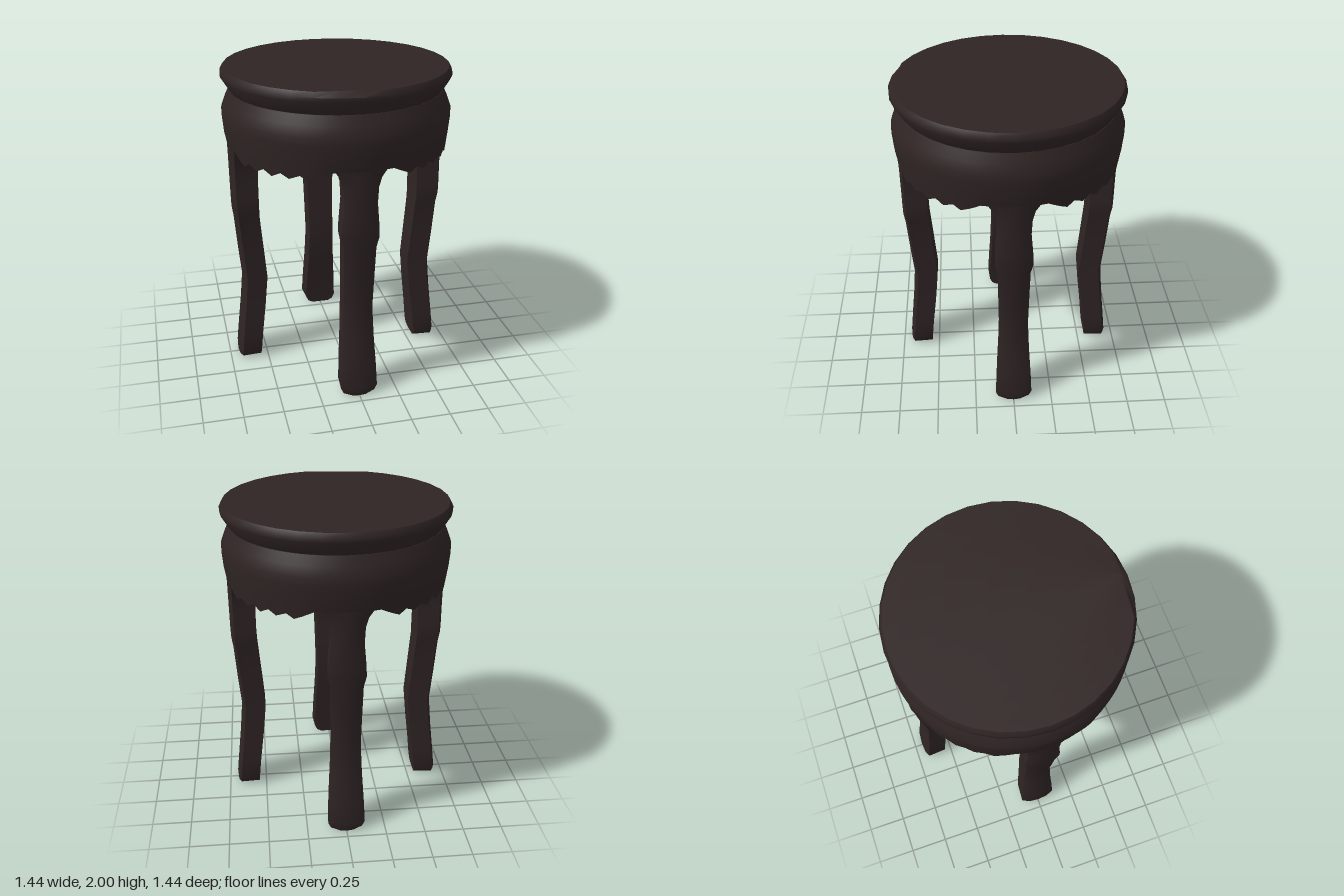
import * as THREE from 'three';
import { toCreasedNormals } from 'three/addons/utils/BufferGeometryUtils.js';

// Skin a stack of closed rings of [x, y, z] points, running counter-clockwise seen from above.
function loft(rings, capped) {
  const n = rings[0].length;
  const positions = rings.flat(2);
  const index = [];
  for (let i = 0; i < rings.length - 1; i++) {
    for (let j = 0; j < n; j++) {
      const k = (j + 1) % n;
      const a = i * n + j, b = i * n + k, c = a + n, d = b + n;
      index.push(a, b, d, a, d, c);
    }
  }
  if (capped) {
    const last = (rings.length - 1) * n;
    for (let j = 1; j < n - 1; j++) {
      index.push(0, j + 1, j, last, last + j, last + j + 1);
    }
  }
  const geometry = new THREE.BufferGeometry();
  geometry.setAttribute('position', new THREE.Float32BufferAttribute(positions, 3));
  geometry.setIndex(index);
  return toCreasedNormals(geometry, 0.65);
}

const polar = (r, y, degrees) => {
  const t = THREE.MathUtils.degToRad(degrees);
  return [r * Math.sin(t), y, r * Math.cos(t)];
};

// Round seat with a bevelled rim and a small chip in its front edge
function seatGeometry() {
  const profile = [[0.6, 1.84], [0.665, 1.86], [0.718, 1.945], [0.718, 1.97], [0.7, 2]];
  const angles = Array.from({ length: 32 }, (_, i) => i * 11.25);
  const rings = profile.map(([r, y]) => angles.map((a) => polar(r, y, a)));
  const top = rings[rings.length - 1];
  const from = top[30], to = top[1];
  [31, 0].forEach((slot, i) => {
    top[slot] = from.map((v, axis) => THREE.MathUtils.lerp(v, to[axis], (i + 1) / 3));
  });
  return loft(rings, true);
}

// Hollow apron whose lower edge arches over each leg and is scalloped in between
function apronGeometry() {
  const edge = [
    [0, 1.53], [6, 1.53], [12, 1.53], [16, 1.53], [18.5, 1.515], [22, 1.495], [26, 1.475],
    [30, 1.502], [35.5, 1.475], [40, 1.502], [45, 1.472],
  ];
  const mirrored = edge.slice(1, -1).reverse().map(([a, y]) => [90 - a, y]);
  const quarter = [...edge, ...mirrored];
  const rim = [0, 90, 180, 270].flatMap((turn) => quarter.map(([a, y]) => [a + turn, y]));
  const ring = (r, y) => rim.map(([a, low]) => polar(r, y ?? low, a));
  return loft([
    ring(0, 1.77), ring(0.525, 1.77), ring(0.525, 1.53), // ceiling and inner wall
    ring(0.697), ring(0.71, 1.6), ring(0.718, 1.69), ring(0.718, 1.74), // scalloped edge and belly
    ring(0.695, 1.8), ring(0.668, 1.86), ring(0, 1.86),
  ], false);
}

// Curved leg with a rounded outer face, built facing +z
function legGeometry() {
  const section = [[-1, 0.84], [-0.65, 0.96], [0, 1], [0.65, 0.96], [1, 0.84], [0.92, 0], [-0.92, 0]];
  // height, half width, inner depth, outer depth
  const levels = [
    [0, 0.065, 0.55, 0.69], [0.018, 0.1, 0.548, 0.695], [0.055, 0.118, 0.545, 0.697],
    [0.2, 0.112, 0.53, 0.682], [0.4, 0.1, 0.505, 0.66], [0.6, 0.092, 0.485, 0.643],
    [0.8, 0.095, 0.502, 0.662], [1.03, 0.1, 0.522, 0.68], [1.1, 0.116, 0.525, 0.69],
    [1.17, 0.113, 0.525, 0.692], [1.32, 0.1, 0.524, 0.694], [1.42, 0.105, 0.52, 0.695],
    [1.48, 0.122, 0.512, 0.696], [1.515, 0.145, 0.512, 0.697], [1.54, 0.165, 0.515, 0.697],
    [1.6, 0.165, 0.54, 0.697],
  ];
  const rings = levels.map(([y, half, inner, outer]) =>
    section.map(([u, v]) => [u * half, y, THREE.MathUtils.lerp(inner, outer, v)]));
  return loft(rings, true);
}

export function createModel() {
  const wood = new THREE.MeshStandardMaterial({ color: 0x2f2424 });
  wood.name = 'dark wood';

  const stool = new THREE.Group();
  stool.name = 'stool';
  const add = (name, geometry) => {
    const mesh = new THREE.Mesh(geometry, wood);
    mesh.name = name;
    stool.add(mesh);
    return mesh;
  };

  add('seat', seatGeometry());
  add('apron', apronGeometry());

  // Four legs a quarter turn apart
  const leg = legGeometry();
  ['frontLeg', 'leftLeg', 'backLeg', 'rightLeg'].forEach((name, i) => {
    add(name, leg).rotation.y = (i * Math.PI) / 2;
  });
  return stool;
}
